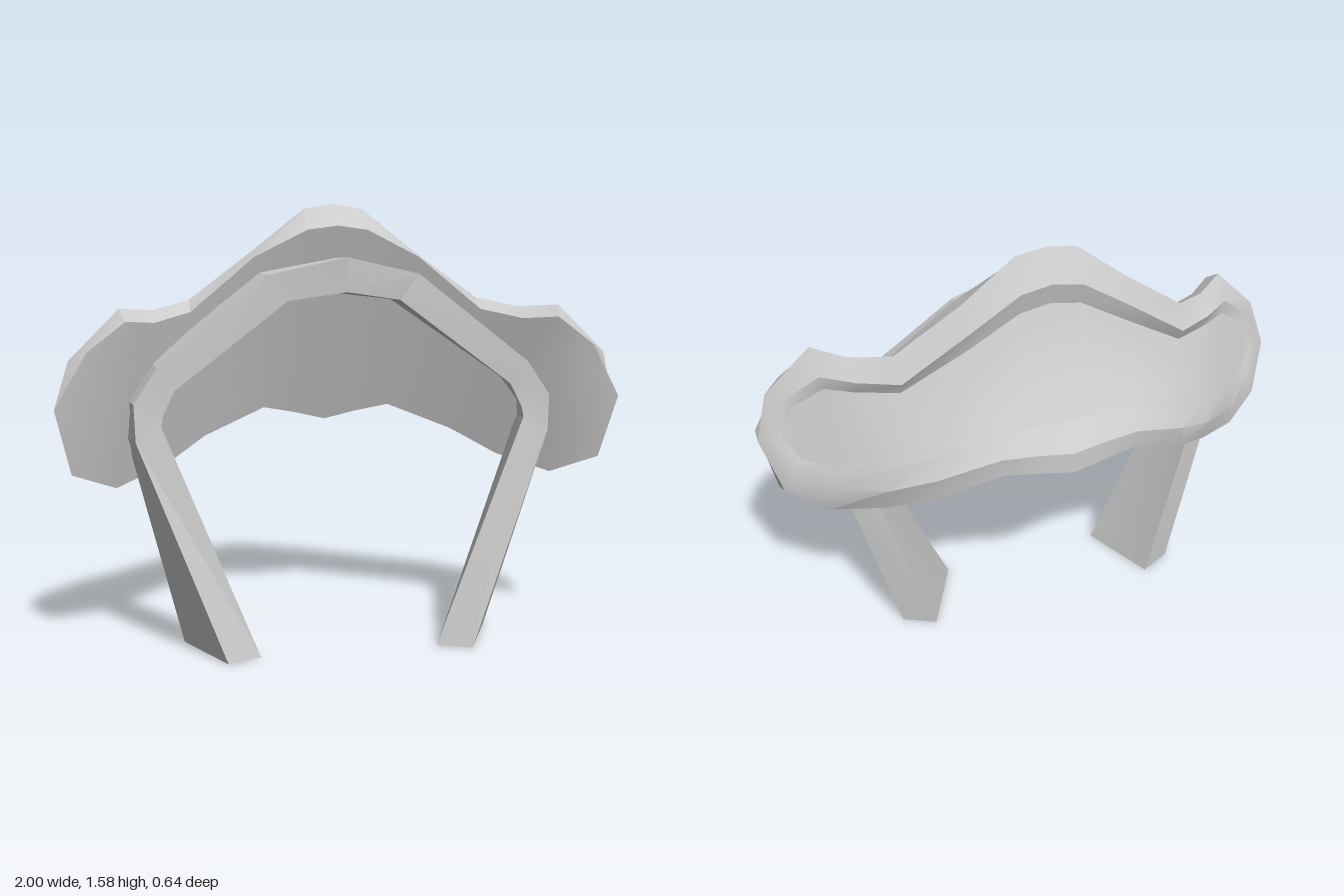
import * as THREE from 'three';
import { toCreasedNormals } from 'three/addons/utils/BufferGeometryUtils.js';

const mirror = ([x, y, z]) => [-x, y, z];

// Skins neighbouring rows of points with triangles
function skin(rows, crease) {
  const pos = [];
  for (let j = 0; j < rows.length - 1; j++) {
    for (let i = 0; i < rows[j].length - 1; i++) {
      const a = rows[j][i], b = rows[j][i + 1], c = rows[j + 1][i + 1], d = rows[j + 1][i];
      pos.push(...a, ...b, ...c, ...a, ...c, ...d);
    }
  }
  const g = new THREE.BufferGeometry();
  g.setAttribute('position', new THREE.Float32BufferAttribute(pos, 3));
  return toCreasedNormals(g, crease);
}

// Half loop (top centre, round the +x end, to bottom centre) mirrored to a full loop
const fullLoop = (half) => [...half, ...half.slice(1, -1).reverse().map(mirror)];

// Sheet filling a loop, in columns from its upper to its lower edge
function fillRows(loop, steps, bulge) {
  const n = loop.length, m = n / 4;
  const rows = [];
  for (let j = 0; j <= steps; j++) {
    const t = j / steps, row = [];
    for (let i = -m; i <= m; i++) {
      const top = loop[(n + i) % n], bottom = loop[n / 2 - i];
      const p = top.map((v, k) => v + (bottom[k] - v) * t);
      p[2] += bulge * Math.sin(Math.PI * t) * (1 - Math.abs(i) / m);
      row.push(p);
    }
    rows.push(row);
  }
  return rows;
}

// Edge of the front face
const frontEdge = [
  [0, 1.5, .05], [.11, 1.485, .05], [.3, 1.39, .045], [.53, 1.2, .07], [.66, 1.17, .17],
  [.76, 1.18, .255], [.89, 1.08, .27], [1, .89, .25], [.95, .66, .2], [.8, .59, .1],
  [.62, .65, 0], [.47, .735, -.1], [.24, .825, -.17], [.12, .8, -.195], [0, .77, -.21],
];
// Outermost ridge of the rim
const ridge = [
  [0, 1.58, -.04], [.11, 1.56, -.035], [.3, 1.41, -.03], [.53, 1.24, .01], [.66, 1.21, .1],
  [.78, 1.22, .2], [.95, 1.05, .22], [1, .88, .19], [.94, .7, .12], [.8, .64, .03],
  [.62, .69, -.09], [.47, .77, -.2], [.24, .87, -.28], [.12, .865, -.305], [0, .85, -.32],
];
// Lip around the hollow at the back
const lip = [
  [0, 1.47, -.1], [.11, 1.45, -.1], [.29, 1.33, -.09], [.52, 1.16, -.05], [.66, 1.15, .03],
  [.77, 1.15, .11], [.9, 1.04, .17], [.95, .9, .155], [.9, .78, .1], [.78, .74, 0],
  [.61, .79, -.13], [.46, .86, -.22], [.25, .94, -.285], [.12, .94, -.305], [0, .93, -.32],
];
// Edge of the hollow's floor
const floorEdge = [
  [0, 1.39, -.08], [.11, 1.37, -.08], [.29, 1.26, -.07], [.52, 1.11, -.02], [.66, 1.1, .05],
  [.76, 1.1, .11], [.87, 1.02, .155], [.92, .91, .15], [.87, .83, .11], [.77, .82, .02],
  [.6, .86, -.1], [.45, .93, -.18], [.25, 1.01, -.23], [.12, 1.02, -.245], [0, 1.02, -.25],
];

// Frame sections from top centre to foot: outer front, outer back, inner back, inner front
const frameSections = [
  [[0, 1.39, .215], [0, 1.385, 0], [0, 1.26, -.02], [0, 1.27, .21]],
  [[.27, 1.33, .17], [.28, 1.335, 0], [.21, 1.235, -.01], [.2, 1.24, .17]],
  [[.66, 1.02, .225], [.67, 1.03, .1], [.61, .95, .07], [.6, .94, .21]],
  [[.74, .9, .235], [.757, .9, .1], [.67, .88, .07], [.64, .86, .22]],
  [[.735, .77, .24], [.762, .77, .1], [.68, .8, .06], [.648, .82, .225]],
  [[.44, 0, .32], [.57, 0, .05], [.45, 0, -.01], [.32, 0, .27]],
];

export function createModel() {
  const group = new THREE.Group();
  const material = new THREE.MeshStandardMaterial({ color: 0xcccccc, side: THREE.DoubleSide });
  const add = (name, geometry) => {
    const mesh = new THREE.Mesh(geometry, material);
    mesh.name = name;
    group.add(mesh);
  };

  // Curved pad: rim, hollow back and front face
  const loops = [frontEdge, ridge, lip, floorEdge].map(fullLoop);
  add('padRim', skin(loops.map((l) => [...l, l[0]]), 0.6));
  add('padHollow', skin(fillRows(loops[3], 6, .015), 0.6));
  add('padFront', skin(fillRows(loops[0], 4, 0).reverse(), 0.6));

  // Bent support frame with two flared, open-ended legs
  const sections = [
    ...frameSections.slice(1).reverse().map((s) => s.map(mirror)),
    ...frameSections,
  ];
  const edges = [0, 1, 2, 3, 0].map((k) => sections.map((s) => s[k]));
  add('supportFrame', skin(edges, 0.3));

  return group;
}
